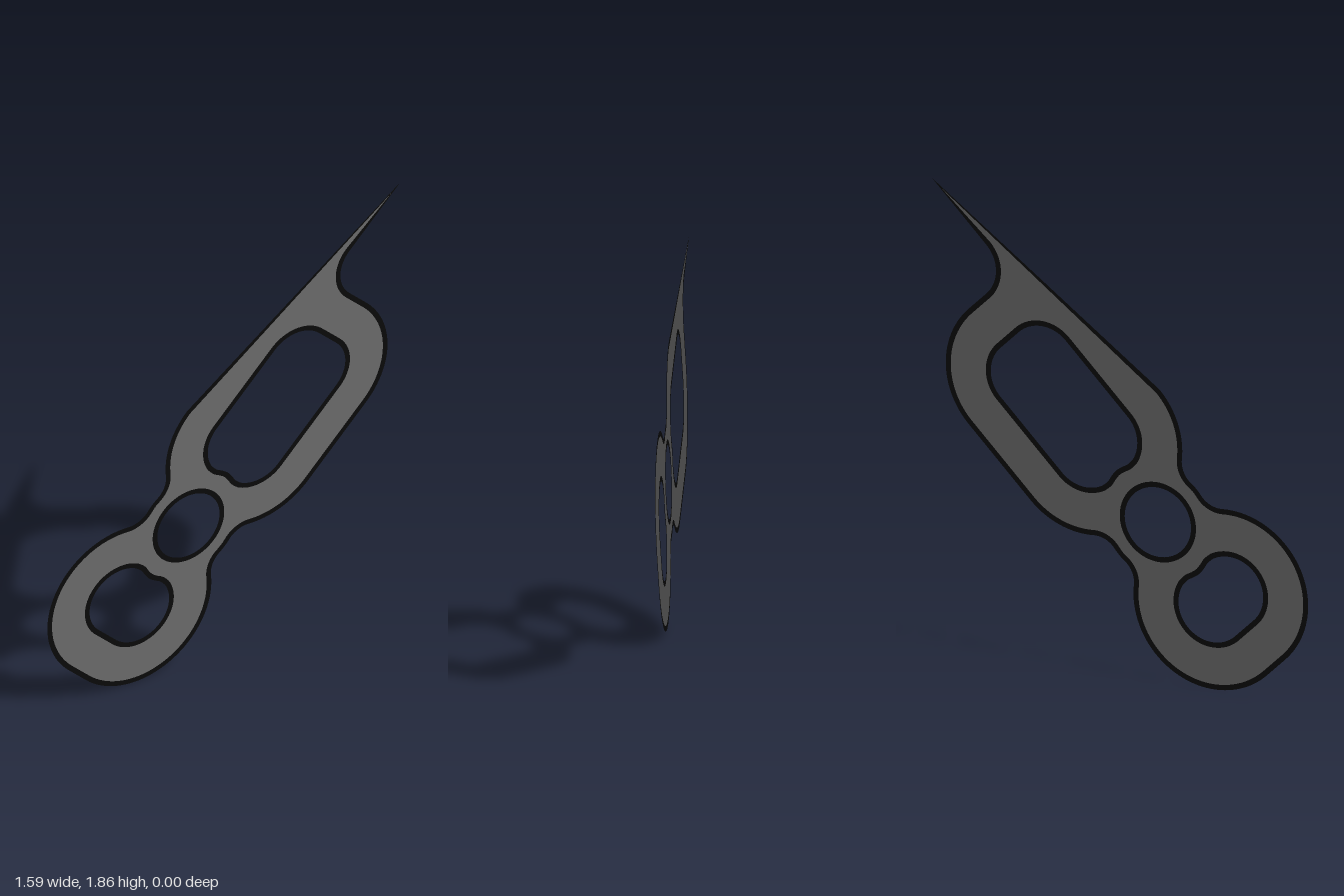
import * as THREE from 'three';

const RAD = Math.PI / 180;
const U = 0.376, V = 0.055;   // lobe arc centres (u along the body, v across it)
const R = 0.33, HOLE = 0.14;  // outer and inner corner radii
const RING = 0.23;            // outer radius of the neck around the round hole
const FU = 0.043, FV = 0.327, FR = 0.1; // fillets between neck and lobes
const BORDER = 0.021;

// Contour points without duplicates
function clean(points) {
  return points.filter((p, i) => p.distanceTo(points[(i + 1) % points.length]) > 1e-4);
}

// Mitred offset of a counter-clockwise contour, positive d goes inward
function offset(points, d) {
  const n = points.length;
  return points.map((p, i) => {
    const a = p.clone().sub(points[(i + n - 1) % n]).normalize();
    const b = points[(i + 1) % n].clone().sub(p).normalize();
    const m = new THREE.Vector2(-a.y - b.y, a.x + b.x).normalize();
    return p.clone().addScaledVector(m, d / Math.max(0.4, m.x * -a.y + m.y * a.x));
  });
}

// Pinched neck: lobe arc, fillet, ring arc, fillet; s = -1 gives the opposite side
function neck(path, s, startAngle, endAngle) {
  const turn = s < 0 ? Math.PI : 0;
  const lobe = Math.atan2(FV - V, FU - U), ring = Math.atan2(FV, FU);
  const arc = (x, y, r, a, b, cw) => path.absarc(s * x, s * y, r, a + turn, b + turn, cw);
  arc(U, V, R, startAngle, lobe, false);
  arc(FU, FV, FR, lobe + Math.PI, ring + Math.PI, true);
  arc(0, 0, RING, ring, Math.PI - ring, false);
  arc(-FU, FV, FR, -ring, -lobe, true);
  arc(-U, V, R, Math.PI - lobe, endAngle, false);
}

function outline() {
  const p = new THREE.Path();
  p.moveTo(1.54, 0.385);
  neck(p, 1, 90 * RAD, 180 * RAD);
  neck(p, -1, 0, 90 * RAD);
  p.absarc(0.745, -V, R, 270 * RAD, 360 * RAD, false);
  p.absarc(1.215, 0.05, 0.14, 180 * RAD, 90 * RAD, true);
  p.lineTo(1.54, 0.19);
  p.closePath();
  return clean(p.getPoints(20));
}

// Rounded opening with a slight bump where it meets the ring
function opening(far, s) {
  const p = new THREE.Path();
  p.absarc(far, -V, HOLE, 270 * RAD, 360 * RAD, false);
  p.absarc(far, V, HOLE, 0, 90 * RAD, false);
  p.absarc(U, V, HOLE, 90 * RAD, 165 * RAD, false);
  p.splineThru([[0.239, 0.06], [0.246, 0.03], [0.25, 0], [0.246, -0.03], [0.239, -0.06],
    [U + HOLE * Math.cos(195 * RAD), -V + HOLE * Math.sin(195 * RAD)]]
    .map(([x, y]) => new THREE.Vector2(x, y)));
  p.absarc(U, -V, HOLE, 195 * RAD, 270 * RAD, false);
  p.closePath();
  return clean(p.getPoints(16)).map((q) => q.multiplyScalar(s));
}

function sheet(name, points, holes, material) {
  const shape = new THREE.Shape(points);
  shape.holes = holes.map((h) => new THREE.Path(h));
  const mesh = new THREE.Mesh(new THREE.ShapeGeometry(shape), material);
  mesh.name = name;
  return mesh;
}

export function createModel() {
  const fill = new THREE.MeshStandardMaterial({ color: 0x6c6c6c, side: THREE.DoubleSide });
  const dark = new THREE.MeshStandardMaterial({ color: 0x0a0a0a, side: THREE.DoubleSide });

  const outer = outline();
  const round = clean(new THREE.Path().absarc(0, 0, HOLE, 0, Math.PI * 2, false).getPoints(48));
  const openings = [
    ['gripOpening', opening(0.745, 1)],
    ['ringHole', round],
    ['endOpening', opening(U, -1)],
  ];

  // Flat plate with its three openings
  const plate = new THREE.Group();
  plate.name = 'plate';
  const inner = offset(outer, BORDER);
  const rims = openings.map(([, h]) => offset(h, -BORDER));
  plate.add(sheet('plateFace', inner, rims, fill));

  // Dark borders along the outline and around each opening
  plate.add(sheet('outerBorder', outer, [inner], dark));
  openings.forEach(([name, h], i) => plate.add(sheet(name + 'Border', rims[i], [h], dark)));

  // The body leans at 45 degrees
  plate.rotation.z = Math.PI / 4;
  plate.position.set(-0.165, 0.637, 0);

  const model = new THREE.Group();
  model.name = 'slottedPlate';
  model.add(plate);
  return model;
}
